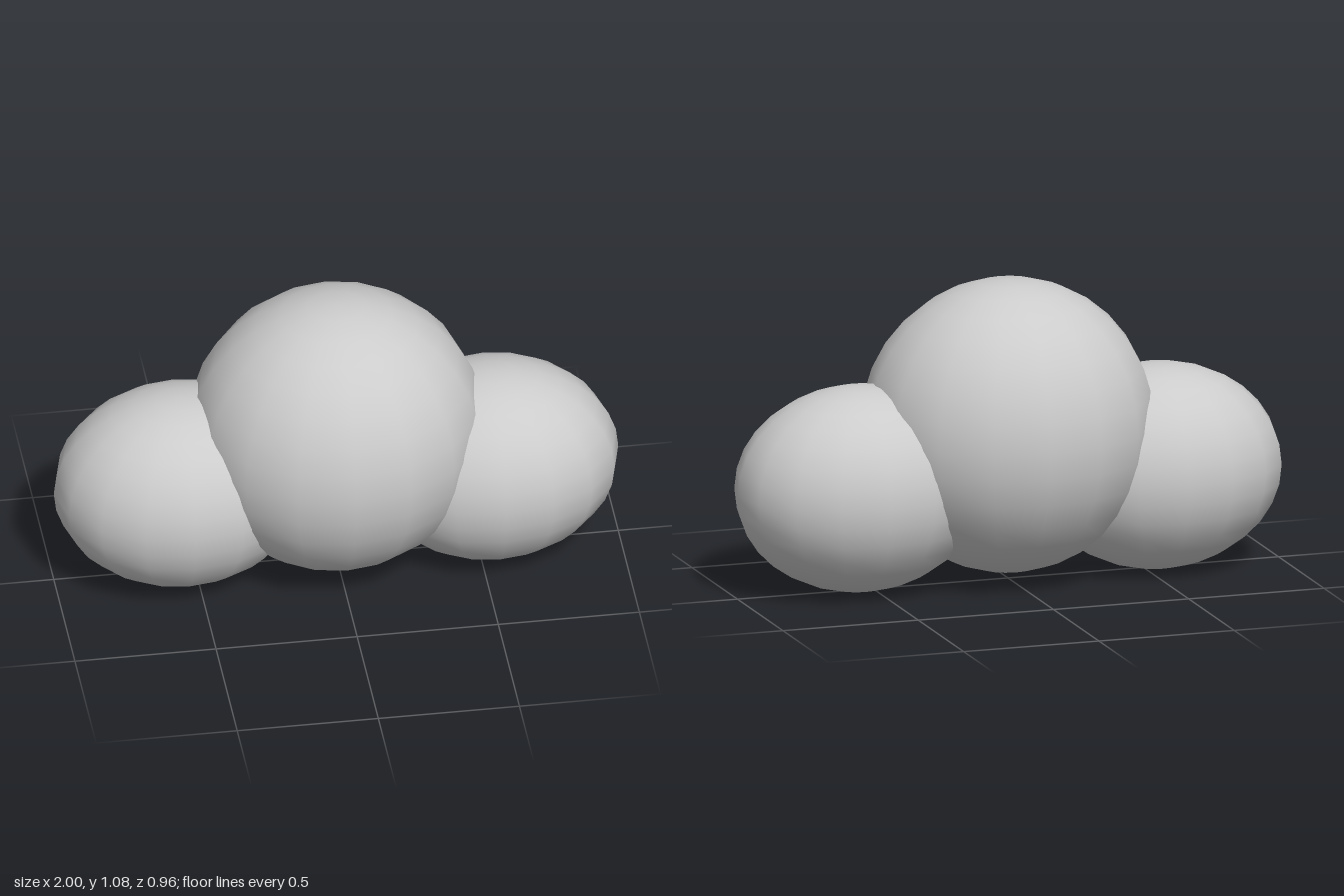
import * as THREE from 'three';

export function createModel() {
  const group = new THREE.Group();
  const material = new THREE.MeshStandardMaterial({ color: 0xcccccc });
  const ball = new THREE.SphereGeometry(1, 16, 16);

  // Unit ball stretched to the given half-sizes
  function addBall(name, position, halfSize) {
    const mesh = new THREE.Mesh(ball, material);
    mesh.name = name;
    mesh.position.set(...position);
    mesh.scale.set(...halfSize);
    group.add(mesh);
  }

  // Large middle ball
  addBall('centreBall', [0, 0.554, 0], [0.523, 0.523, 0.478]);

  // Smaller side balls sunk into its lower flanks
  for (const [name, side] of [['leftBall', 1], ['rightBall', -1]]) {
    addBall(name, [side * 0.55, 0.367, 0], [0.45, 0.367, 0.358]);
  }

  return group;
}
